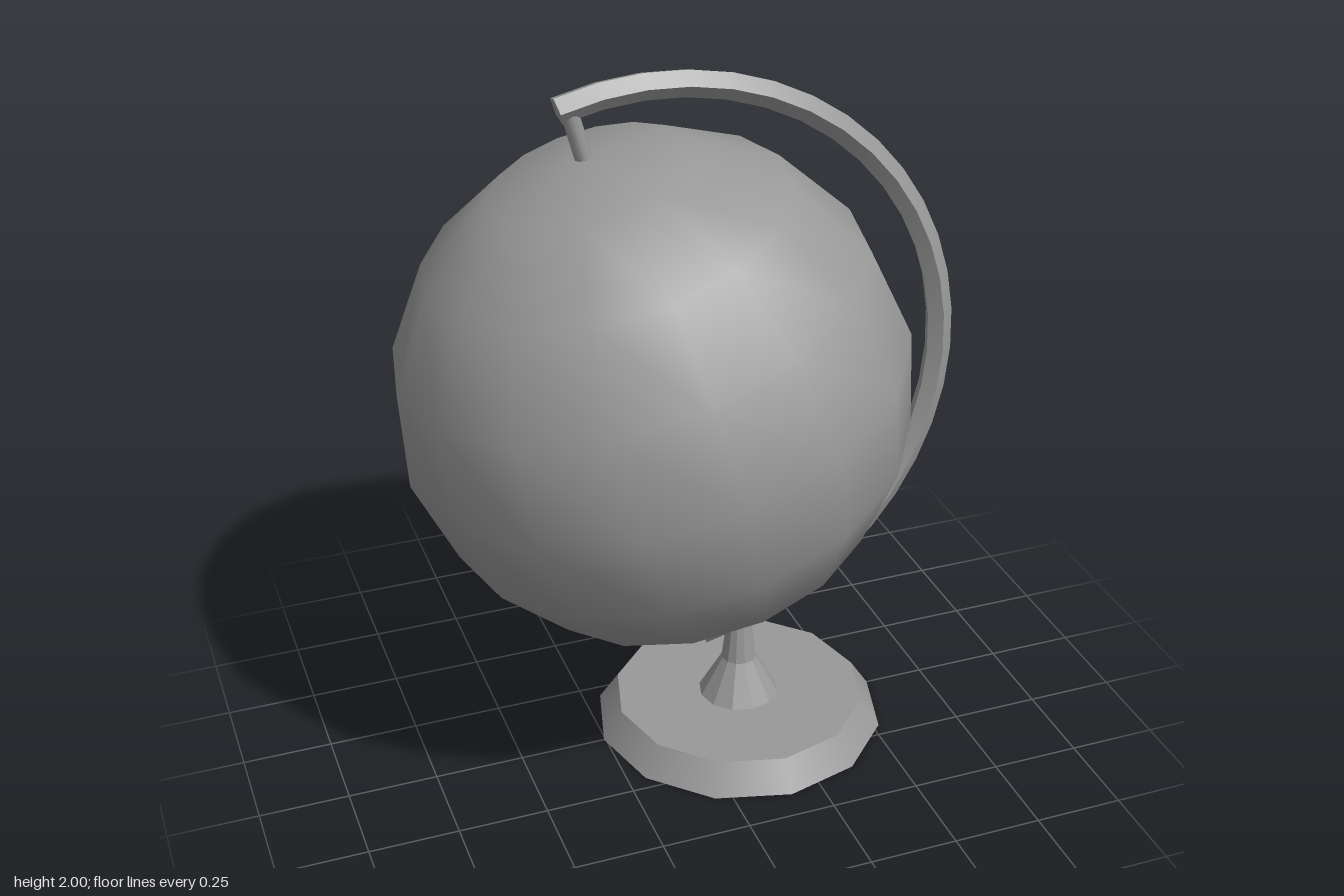
import * as THREE from 'three';
import { toCreasedNormals } from 'three/addons/utils/BufferGeometryUtils.js';

const CX = -0.095, CY = 1.13;            // globe centre
const TILT = THREE.MathUtils.degToRad(15);
const GREY = 0x999999;

export function createModel() {
  const model = new THREE.Group();
  model.name = 'deskGlobe';
  const smooth = new THREE.MeshStandardMaterial({ color: GREY });
  const flat = new THREE.MeshStandardMaterial({ color: GREY, flatShading: true });
  const armMaterial = new THREE.MeshStandardMaterial({ color: GREY, side: THREE.DoubleSide });

  const add = (name, geometry, material, parent = model) => {
    const mesh = new THREE.Mesh(geometry, material);
    mesh.name = name;
    parent.add(mesh);
    return mesh;
  };

  // Tilted ball with a pivot pin at each pole
  const tilted = new THREE.Group();
  tilted.name = 'tiltedGlobe';
  tilted.position.set(CX, CY, 0);
  tilted.rotation.z = TILT;
  model.add(tilted);
  add('ball', new THREE.SphereGeometry(0.694, 16, 8), smooth, tilted);
  for (const [name, side] of [['topPin', 1], ['bottomPin', -1]]) {
    add(name, new THREE.CylinderGeometry(0.023, 0.023, 0.17, 8), smooth, tilted).position.y = side * 0.735;
  }

  // Half-ring arm: a five-sided section swept around the ball
  const arm = new THREE.Group();
  arm.name = 'arm';
  arm.position.set(CX, CY, 0);
  model.add(arm);
  const R = 0.834, r = 0.0375, sides = 5, turn = Math.PI / 10;
  const start = THREE.MathUtils.degToRad(-80), sweep = THREE.MathUtils.degToRad(187);
  const section = [];
  for (let i = 0; i <= sides; i++) {
    const a = turn + i * 2 * Math.PI / sides;
    section.push(new THREE.Vector2(R + r * Math.cos(a), r * Math.sin(a)));
  }
  const ring = new THREE.LatheGeometry(section, 24, start + Math.PI / 2, sweep);
  ring.rotateX(Math.PI / 2);
  add('armRing', toCreasedNormals(ring, Math.PI / 6), armMaterial, arm);
  for (const [name, angle] of [['armBottomEnd', start], ['armTopEnd', start + sweep]]) {
    const cap = new THREE.CircleGeometry(r, sides, turn);
    cap.translate(R, 0, 0).rotateX(Math.PI / 2).rotateZ(angle);
    add(name, cap, armMaterial, arm);
  }

  // Round foot and flared stem
  const stand = new THREE.Group();
  stand.name = 'stand';
  stand.position.x = 0.16;
  model.add(stand);
  add('base', new THREE.CylinderGeometry(0.36, 0.415, 0.084, 12), smooth, stand).position.y = 0.042;
  const stem = [[0.115, 0.084], [0.05, 0.2], [0.034, 0.325], [0, 0.325]];
  add('stem', new THREE.LatheGeometry(stem.map(([x, y]) => new THREE.Vector2(x, y)), 12), flat, stand);

  return model;
}
